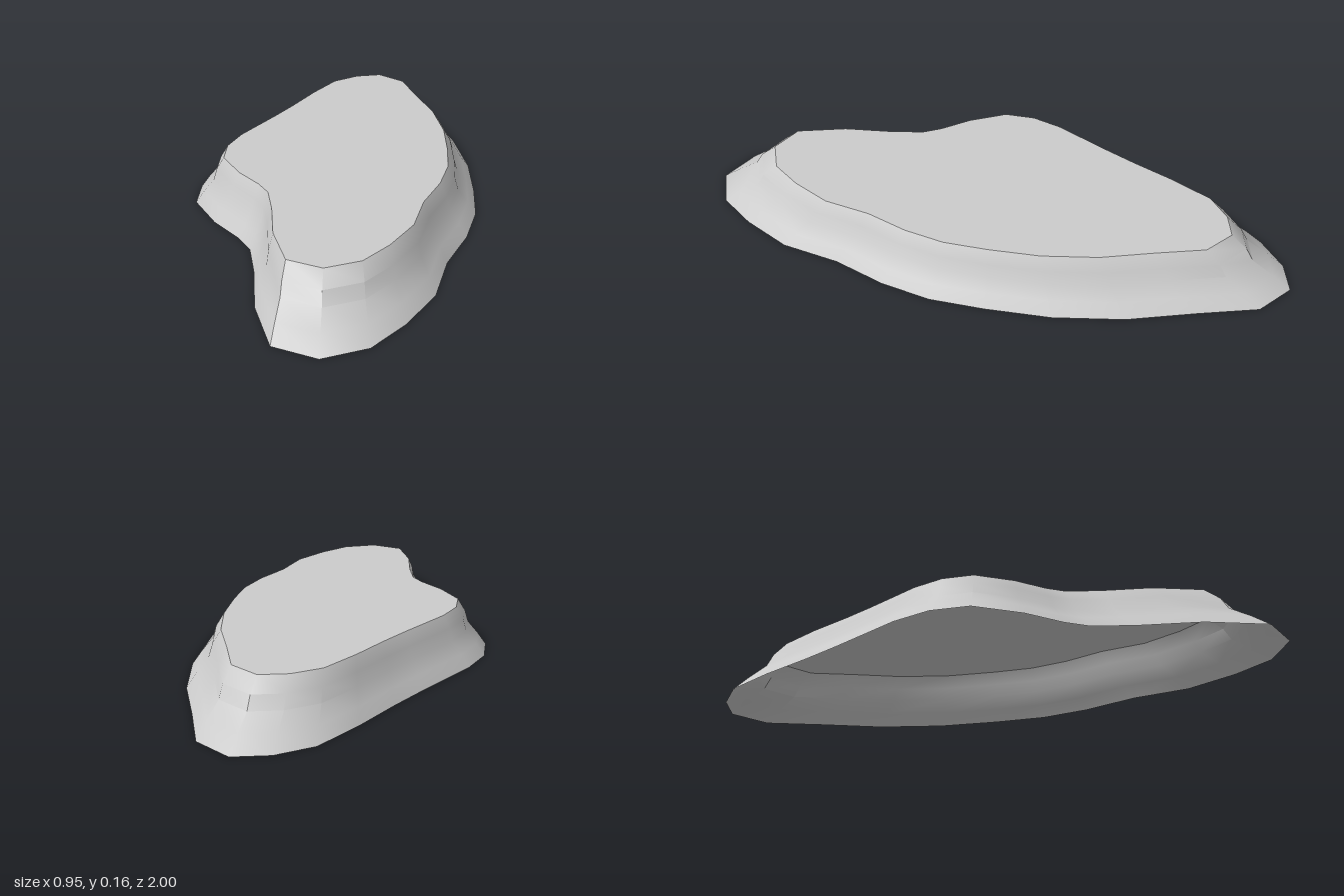
import * as THREE from 'three';
import { toCreasedNormals } from 'three/addons/utils/BufferGeometryUtils.js';

// Ground outline as [x, z], from the back tip round by the left side
const OUTLINE = [
  [0.09, -1], [0.21, -0.92], [0.29, -0.73], [0.38, -0.53], [0.44, -0.31], [0.465, -0.1],
  [0.475, 0.08], [0.45, 0.25], [0.395, 0.43], [0.37, 0.63], [0.295, 0.8], [0.21, 0.93],
  [0.08, 1], [-0.06, 0.955], [-0.14, 0.76], [-0.18, 0.56], [-0.22, 0.42], [-0.27, 0.35],
  [-0.37, 0.25], [-0.465, 0.11], [-0.475, -0.02], [-0.44, -0.15], [-0.33, -0.39],
  [-0.27, -0.53], [-0.2, -0.71], [-0.12, -0.88], [-0.02, -0.965],
];

// Slope profile as [scale of outline, height]
const PROFILE = [[1, 0], [0.94, 0.04], [0.87, 0.08], [0.845, 0.12], [0.793, 0.16]];

function slopeGeometry() {
  const n = OUTLINE.length;
  const positions = [];
  const index = [];
  PROFILE.forEach(([s, y], i) => {
    OUTLINE.forEach(([x, z], j) => {
      positions.push(x * s, y, z * s);
      if (i === 0) return;
      const k = (j + 1) % n;
      const a = (i - 1) * n + j, b = (i - 1) * n + k, c = i * n + k, d = i * n + j;
      index.push(a, c, b, a, d, c);
    });
  });
  const geometry = new THREE.BufferGeometry();
  geometry.setAttribute('position', new THREE.Float32BufferAttribute(positions, 3));
  geometry.setIndex(index);
  return toCreasedNormals(geometry, 0.6);
}

function plateauGeometry() {
  const [s, y] = PROFILE[PROFILE.length - 1];
  const shape = new THREE.Shape(OUTLINE.map(([x, z]) => new THREE.Vector2(x * s, -z * s)));
  return new THREE.ShapeGeometry(shape).rotateX(-Math.PI / 2).translate(0, y, 0);
}

export function createModel() {
  const group = new THREE.Group();
  group.name = 'plateau';
  const material = new THREE.MeshStandardMaterial({ color: 0xcccccc, side: THREE.DoubleSide });

  // Sloping side wall, open underneath
  const slope = new THREE.Mesh(slopeGeometry(), material);
  slope.name = 'slope';

  // Flat top
  const top = new THREE.Mesh(plateauGeometry(), material);
  top.name = 'flatTop';

  group.add(slope, top);
  return group;
}
